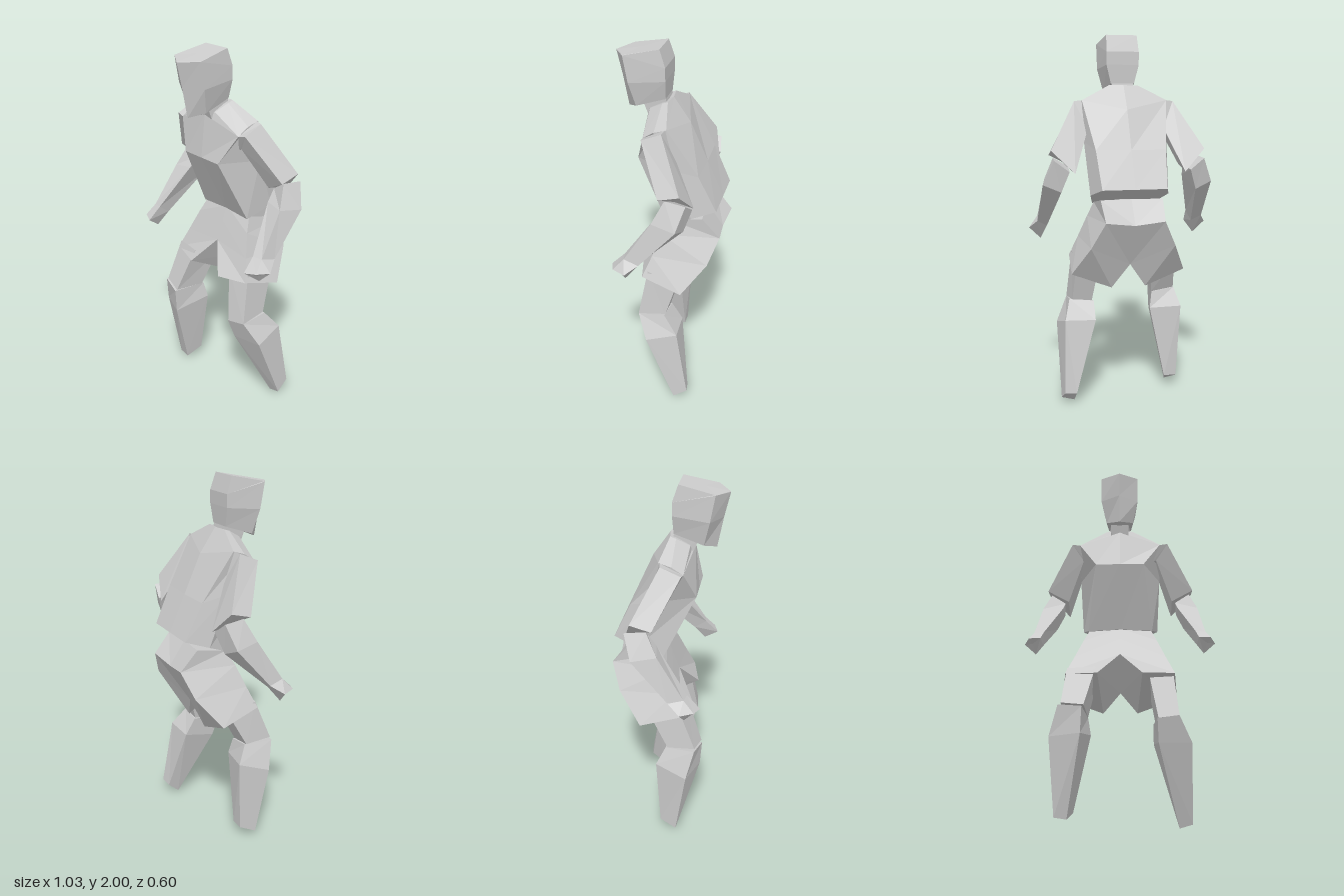
import * as THREE from 'three';

const grey = new THREE.MeshStandardMaterial({ color: 0xcccccc, flatShading: true });
grey.name = 'light grey';

// Closed faceted skin through cross-section rings with equal point counts
function loft(name, rings) {
  const tris = [];
  const n = rings[0].length;
  for (let r = 0; r + 1 < rings.length; r++) {
    for (let i = 0; i < n; i++) {
      const j = (i + 1) % n;
      const a = rings[r][i], b = rings[r][j], c = rings[r + 1][j], d = rings[r + 1][i];
      tris.push([a, b, c], [a, c, d]);
    }
  }
  const cap = (ring, flip) => {
    const mid = [0, 1, 2].map(k => ring.reduce((s, p) => s + p[k], 0) / n);
    ring.forEach((p, i) => {
      const q = ring[(i + 1) % n];
      tris.push(flip ? [mid, q, p] : [mid, p, q]);
    });
  };
  cap(rings[0], true);
  cap(rings[rings.length - 1], false);

  // Turn all faces outward using the signed volume
  const v = p => new THREE.Vector3(...p);
  const volume = tris.reduce((s, [a, b, c]) => s + v(a).dot(v(b).cross(v(c))), 0);
  const flat = tris.flatMap(([a, b, c]) => (volume < 0 ? [...a, ...c, ...b] : [...a, ...b, ...c]));
  const geo = new THREE.BufferGeometry();
  geo.setAttribute('position', new THREE.Float32BufferAttribute(flat, 3));
  geo.computeVertexNormals();
  const mesh = new THREE.Mesh(geo, grey);
  mesh.name = name;
  return mesh;
}

const flipX = rings => rings.map(ring => ring.map(([x, y, z]) => [-x, y, z]));

// Half rings run from front centre (or front side) to the back on +x
const symmetric = rings => rings.map(half => [
  ...half,
  ...half.filter(p => p[0] !== 0).reverse().map(([x, y, z]) => [-x, y, z]),
]);

export function createModel() {
  const model = new THREE.Group();
  model.name = 'figure';

  // Wedge-faced head, tilted forward
  model.add(loft('head', symmetric([
    [[0, 1.66, 0.24], [0.075, 1.69, 0.18], [0.065, 1.74, 0.025]],
    [[0, 1.82, 0.27], [0.105, 1.82, 0.21], [0.09, 1.84, 0.02]],
    [[0, 1.95, 0.30], [0.105, 1.96, 0.235], [0.09, 1.91, 0.02]],
    [[0, 1.953, 0.298], [0.103, 1.962, 0.233], [0.085, 2.0, 0.05]],
  ])));

  model.add(loft('neck', symmetric([
    [[0.05, 1.58, 0.1], [0.06, 1.6, 0]],
    [[0.05, 1.71, 0.15], [0.06, 1.76, 0.03]],
  ])));

  // Torso: front centre, front corner, side, back corner, back centre
  model.add(loft('torso', symmetric([
    [[0, 1.10, -0.01], [0.18, 1.09, -0.01], [0.215, 1.15, -0.15], [0.175, 1.19, -0.275], [0, 1.19, -0.275]],
    [[0, 1.43, 0.155], [0.135, 1.43, 0.155], [0.23, 1.43, -0.05], [0.19, 1.39, -0.18], [0, 1.39, -0.185]],
    [[0, 1.66, 0.13], [0.23, 1.59, 0.10], [0.235, 1.63, 0.04], [0.235, 1.65, -0.025], [0, 1.60, -0.09]],
    [[0, 1.67, 0.12], [0.06, 1.68, 0.11], [0.08, 1.72, 0.04], [0.08, 1.73, 0.01], [0, 1.73, 0.0]],
  ])));

  // Arms: outer front, outer back, inner back, inner front
  const sleeve = [
    [[0.23, 1.59, 0.10], [0.23, 1.65, -0.02], [0.19, 1.50, -0.05], [0.19, 1.50, 0.06]],
    [[0.275, 1.60, 0.095], [0.275, 1.645, -0.01], [0.21, 1.50, -0.06], [0.21, 1.51, 0.06]],
    [[0.42, 1.36, -0.03], [0.42, 1.39, -0.14], [0.30, 1.27, -0.185], [0.30, 1.30, -0.05]],
  ];
  const forearm = [
    [[0.40, 1.35, -0.06], [0.41, 1.34, -0.17], [0.33, 1.28, -0.185], [0.32, 1.30, -0.07]],
    [[0.44, 1.23, 0.0], [0.465, 1.21, -0.13], [0.37, 1.17, -0.15], [0.33, 1.24, -0.02]],
    [[0.465, 1.01, 0.14], [0.475, 0.99, 0.06], [0.42, 0.96, 0.08], [0.41, 1.01, 0.15]],
  ];
  const hand = [
    forearm[2],
    [[0.485, 0.95, 0.195], [0.515, 0.945, 0.125], [0.45, 0.88, 0.14], [0.42, 0.94, 0.22]],
  ];

  // One half of the shorts: front inner, front outer, back outer, back inner
  const shorts = [
    [[0, 1.11, -0.02], [0.175, 1.10, -0.03], [0.17, 1.13, -0.20], [0, 1.13, -0.19]],
    [[0, 1.03, 0.01], [0.205, 1.02, 0.01], [0.16, 1.02, -0.295], [0, 1.0, -0.28]],
    [[0, 0.92, 0.05], [0.25, 0.90, 0.055], [0.23, 0.88, -0.245], [0, 0.77, -0.16]],
    [[0.12, 0.77, 0.145], [0.295, 0.785, 0.10], [0.315, 0.72, -0.12], [0.095, 0.635, -0.12]],
  ];

  for (const [side, place] of [['left', r => r], ['right', flipX]]) {
    const parts = { Sleeve: sleeve, Forearm: forearm, Hand: hand, ShortsLeg: shorts };
    for (const [part, rings] of Object.entries(parts)) model.add(loft(side + part, place(rings)));
  }

  // Legs differ: the right one steps forward, the left one trails
  model.add(loft('leftThigh', [
    [[0.15, 0.82, 0.09], [0.285, 0.82, 0.07], [0.285, 0.75, -0.09], [0.16, 0.75, -0.09]],
    [[0.20, 0.52, 0.135], [0.31, 0.54, 0.12], [0.30, 0.55, -0.03], [0.19, 0.54, -0.03]],
  ]));
  model.add(loft('leftShin', [
    [[0.195, 0.52, 0.135], [0.31, 0.54, 0.12], [0.315, 0.56, -0.03], [0.18, 0.545, -0.04]],
    [[0.20, 0.40, 0.09], [0.375, 0.41, 0.06], [0.35, 0.46, -0.11], [0.18, 0.45, -0.10]],
    [[0.305, 0, -0.10], [0.375, 0.02, -0.10], [0.365, 0.07, -0.175], [0.30, 0.06, -0.165]],
  ]));
  model.add(loft('rightThigh', [
    [[-0.13, 0.82, 0.11], [-0.285, 0.82, 0.09], [-0.28, 0.75, -0.06], [-0.14, 0.75, -0.06]],
    [[-0.185, 0.57, 0.205], [-0.305, 0.59, 0.18], [-0.30, 0.58, 0.03], [-0.17, 0.56, 0.03]],
  ]));
  model.add(loft('rightShin', [
    [[-0.195, 0.56, 0.21], [-0.32, 0.58, 0.18], [-0.30, 0.58, 0.02], [-0.17, 0.56, 0.02]],
    [[-0.20, 0.42, 0.20], [-0.365, 0.42, 0.14], [-0.33, 0.48, -0.03], [-0.155, 0.47, 0]],
    [[-0.265, 0.01, 0.08], [-0.33, 0.02, 0.08], [-0.31, 0.06, -0.01], [-0.24, 0.06, -0.01]],
  ]));

  return model;
}
